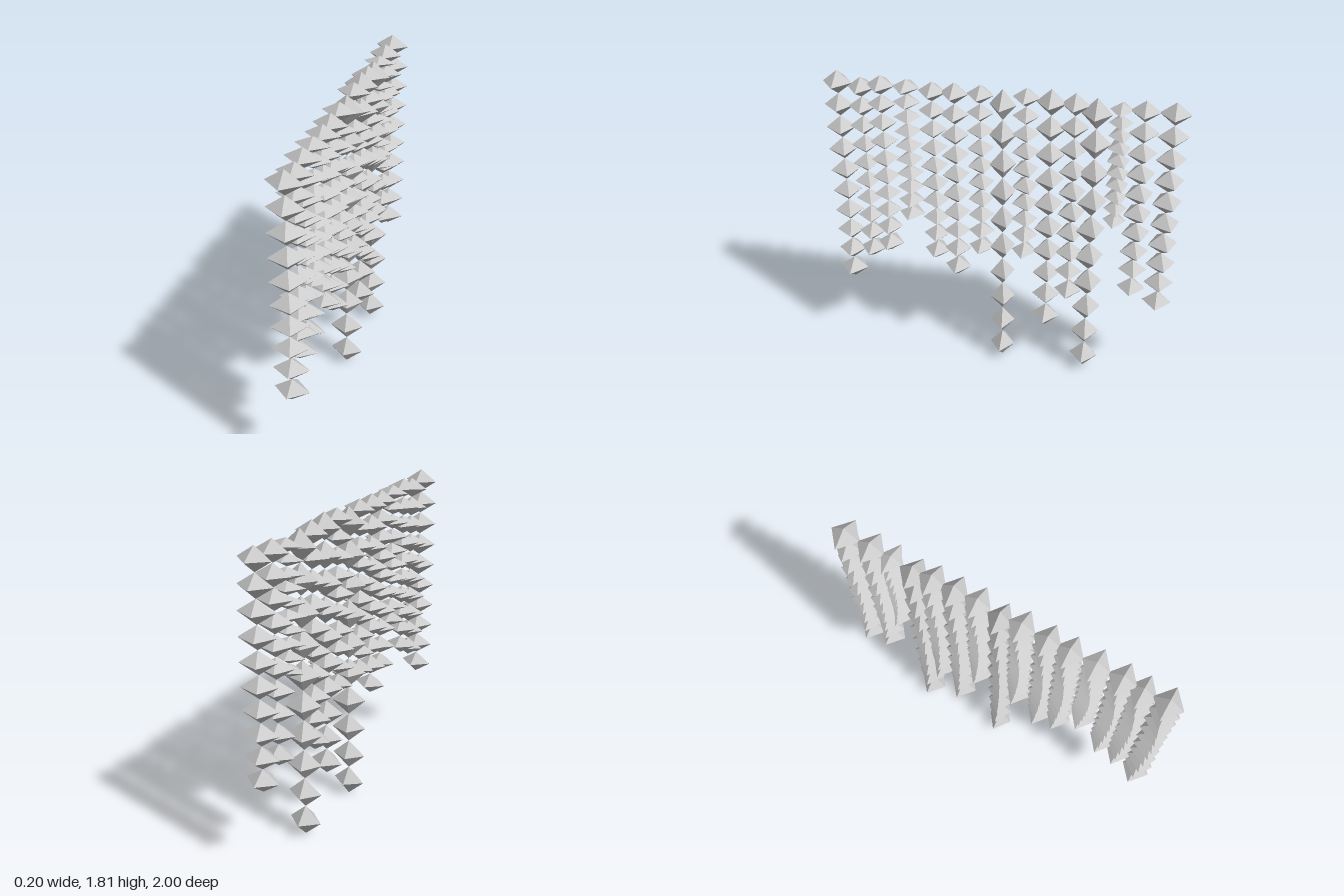
import * as THREE from 'three';

// Each strand: z position, top height, bottom height, half width along z
const STRANDS = [
  [0.917, 1.807, 0.455, 0.083],
  [0.783, 1.78, 0.625, 0.077],
  [0.671, 1.80, 0.68, 0.078],
  [0.527, 1.79, 0.915, 0.077],
  [0.382, 1.79, 0.67, 0.078],
  [0.259, 1.797, 0.567, 0.078],
  [0.115, 1.797, 0.733, 0.075],
  [-0.008, 1.786, 0, 0.073],
  [-0.136, 1.805, 0.738, 0.075],
  [-0.27, 1.813, 0.273, 0.082],
  [-0.398, 1.802, 0.487, 0.079],
  [-0.511, 1.786, 0, 0.084],
  [-0.639, 1.77, 1.027, 0.064],
  [-0.762, 1.797, 0.567, 0.081],
  [-0.915, 1.802, 0.487, 0.084],
];
const BEADS = 10;
const HALF_X = 0.098;
const MAX_TWIST = THREE.MathUtils.degToRad(25);

export function createModel() {
  const model = new THREE.Group();
  model.name = 'beadCurtain';
  const material = new THREE.MeshStandardMaterial({ color: 0xcccccc, flatShading: true });
  const beadShape = new THREE.OctahedronGeometry(1);

  STRANDS.forEach(([z, top, bottom, halfZ], s) => {
    const strand = new THREE.Group();
    strand.name = `strand${s + 1}`;
    strand.position.z = z;
    const pitch = (top - bottom) / BEADS;

    // Beads touch tip to tip, turning away and back down the strand
    for (let i = 0; i < BEADS; i++) {
      const bead = new THREE.Mesh(beadShape, material);
      bead.name = `bead${i + 1}`;
      bead.scale.set(HALF_X, pitch / 2, halfZ);
      bead.position.y = top - pitch * (i + 0.5);
      bead.rotation.y = MAX_TWIST * Math.sin((Math.PI * i) / (BEADS - 1));
      strand.add(bead);
    }
    model.add(strand);
  });
  return model;
}
